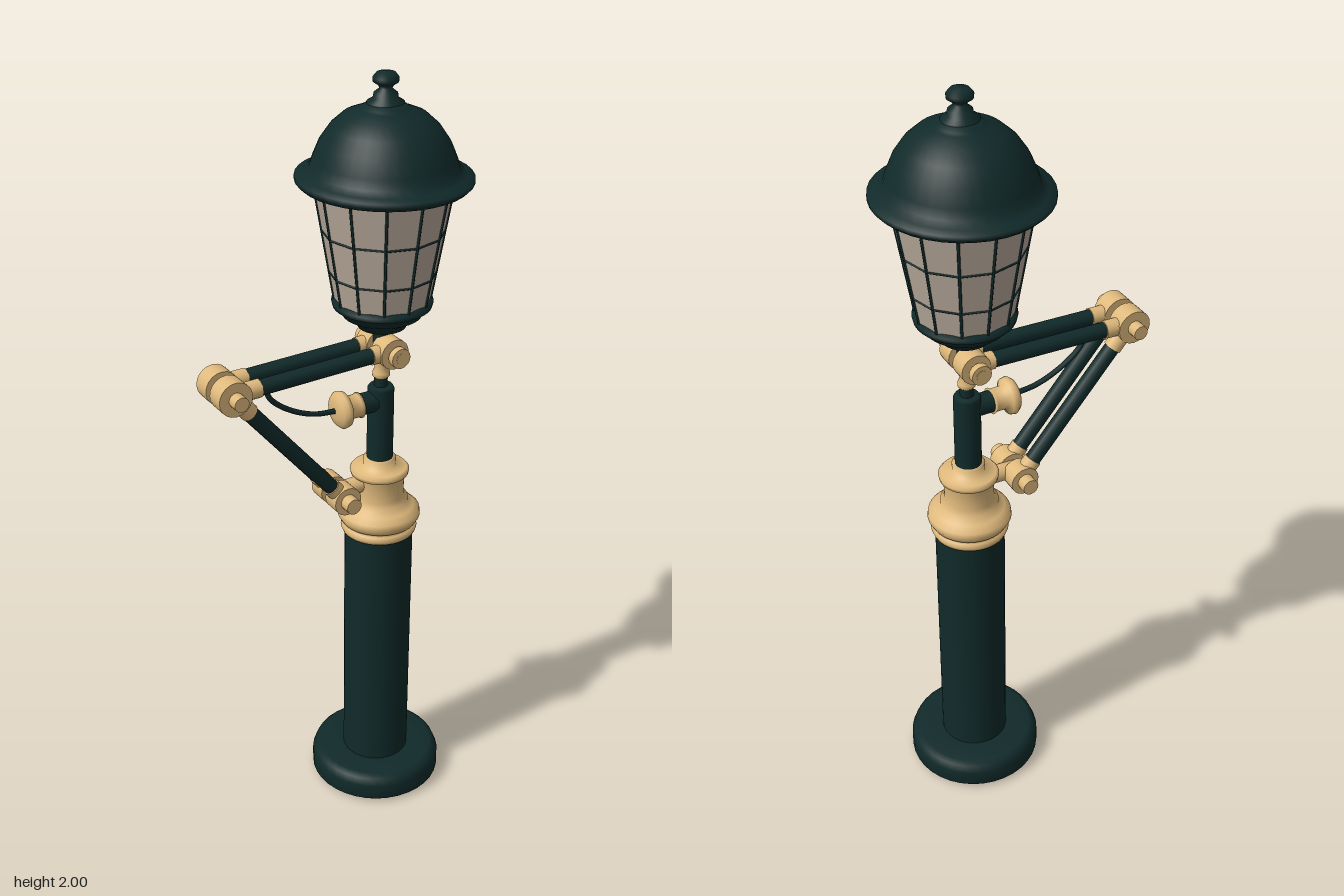
import * as THREE from 'three';

export function createModel() {
  const model = new THREE.Group();
  const mat = (name, color, side = THREE.FrontSide) =>
    Object.assign(new THREE.MeshStandardMaterial({ color, side }), { name });
  const green = mat('dark green paint', 0x112a2a);
  const brass = mat('brass', 0xdfb97c);
  const glass = mat('frosted glass', 0xb9aa9b);
  const AX = 0.133; // x of the post axis
  const V = (x, y, z = 0) => new THREE.Vector3(x, y, z);

  function add(name, geo, material, parent = model) {
    const mesh = new THREE.Mesh(geo, material);
    mesh.name = name;
    parent.add(mesh);
    return mesh;
  }
  // Turned part around the post axis, from [radius, height] pairs
  function turned(name, profile, material) {
    const geo = new THREE.LatheGeometry(profile.map(p => new THREE.Vector2(...p)), 36);
    const m = add(name, geo, material);
    m.position.x = AX;
    return m;
  }
  // Round rod between two points
  function rod(name, a, b, r, material, parent = model, r2 = r, sides = 16) {
    const d = b.clone().sub(a);
    const m = add(name, new THREE.CylinderGeometry(r2, r, d.length(), sides), material, parent);
    m.position.copy(a).add(b).multiplyScalar(0.5);
    m.quaternion.setFromUnitVectors(V(0, 1), d.normalize());
    return m;
  }

  // Base and post
  turned('base', [[0, 0], [0.165, 0], [0.178, 0.012], [0.178, 0.055], [0.17, 0.075],
    [0.155, 0.083], [0.09, 0.083]], green);
  turned('post', [[0.09, 0.08], [0.09, 0.8]], green);

  // Brass collar on top of the post
  turned('collar', [[0.085, 0.795], [0.096, 0.797], [0.1, 0.807], [0.096, 0.818], [0.086, 0.822],
    [0.1, 0.828], [0.108, 0.843], [0.106, 0.858], [0.09, 0.872], [0.075, 0.88], [0.075, 0.892],
    [0.064, 0.9], [0.064, 0.958], [0.075, 0.965], [0.077, 0.975], [0.07, 0.983],
    [0.042, 0.985], [0.042, 1.008], [0.03, 1.01]], brass);

  // Upper stem
  turned('stem', [[0.034, 1.0], [0.034, 1.205], [0.03, 1.212], [0, 1.213]], green);
  turned('stemRod', [[0.017, 1.21], [0.017, 1.26]], green);
  turned('stemFerrule', [[0.018, 1.236], [0.022, 1.24], [0.022, 1.25], [0.016, 1.262],
    [0.02, 1.28], [0.024, 1.32]], brass);

  // Hinge joints: a pin along z with two bosses
  const elbow = V(-0.303, 1.306), shoulder = V(0.135, 1.318), foot = V(0.003, 0.94);
  function joint(name, c, r, pinR, half = 0.09) {
    const g = new THREE.Group();
    g.name = name;
    g.position.copy(c);
    model.add(g);
    rod('pin', V(0, 0, -half), V(0, 0, half), pinR, brass, g);
    for (const s of [-1, 1]) {
      rod('boss', V(0, 0, s * 0.01), V(0, 0, s * 0.06), r, brass, g, r, 20);
      if (half < 0.09) rod('pinCap', V(0, 0, s * 0.07), V(0, 0, s * 0.088), 0.026, brass, g);
    }
  }
  joint('elbowJoint', elbow, 0.044, 0.019);
  joint('shoulderJoint', shoulder, 0.039, 0.014, 0.089);
  joint('footJoint', foot, 0.038, 0.021);

  // Paired arms with brass sockets at both ends
  function arm(name, a, b) {
    const g = new THREE.Group();
    g.name = name;
    model.add(g);
    const d = b.clone().sub(a).normalize();
    for (const z of [-0.035, 0.033]) {
      const p = a.clone().setZ(z), q = b.clone().setZ(z);
      rod('armBar', p, q, 0.02, green, g);
      rod('armSocket', p, p.clone().addScaledVector(d, 0.075), 0.023, brass, g);
      rod('armSocket', q, q.clone().addScaledVector(d, -0.055), 0.023, brass, g);
    }
  }
  arm('upperArm', elbow, shoulder);
  arm('lowerArm', elbow, foot);
  rod('footBracket', foot, V(0.09, 0.945), 0.023, brass);

  // Knob on the side of the stem and the cable hanging from the arm
  rod('knobStub', V(0.05, 1.172), V(AX, 1.172), 0.028, green);
  const knob = add('knob', new THREE.LatheGeometry([[0, 0], [0.02, 0], [0.04, 0.006], [0.049, 0.017],
    [0.046, 0.03], [0.03, 0.038], [0.03, 0.065], [0.034, 0.072], [0, 0.074]]
    .map(p => new THREE.Vector2(...p)), 24), brass);
  knob.rotation.z = -Math.PI / 2;
  knob.position.set(-0.003, 1.172, 0);
  const cable = new THREE.CatmullRomCurve3([V(-0.24, 1.3), V(-0.205, 1.295), V(-0.18, 1.25), V(-0.13, 1.21),
    V(-0.06, 1.18), V(0.01, 1.172)]);
  add('cable', new THREE.TubeGeometry(cable, 32, 0.007, 8), green);

  // Lantern bottom cup
  turned('lanternNeck', [[0.022, 1.33], [0.022, 1.375], [0.03, 1.38]], green);
  turned('lanternCup', [[0, 1.376], [0.06, 1.376], [0.066, 1.39], [0.098, 1.408], [0.106, 1.425],
    [0.122, 1.432], [0.125, 1.444], [0.112, 1.452], [0, 1.452]], green);

  // Faceted tapering glass with thin glazing bars
  const SIDES = 12, Y0 = 1.445, Y1 = 1.735, R0 = 0.117, R1 = 0.166;
  const rad = y => R0 + (R1 - R0) * (y - Y0) / (Y1 - Y0);
  const pane = new THREE.CylinderGeometry(R1, R0, Y1 - Y0, SIDES, 1).toNonIndexed();
  pane.computeVertexNormals();
  add('glassPanes', pane, glass).position.set(AX, (Y0 + Y1) / 2, 0);
  const cage = new THREE.Group();
  cage.name = 'glazingBars';
  cage.position.x = AX;
  model.add(cage);
  const at = (i, y) => {
    const t = i / SIDES * Math.PI * 2;
    return V(Math.sin(t) * rad(y), y, Math.cos(t) * rad(y));
  };
  for (let i = 0; i < SIDES; i++) {
    rod('uprightBar', at(i, Y0), at(i, Y1), 0.0035, green, cage, 0.0035, 6);
    for (const y of [1.517, 1.622])
      rod('crossBar', at(i, y), at(i + 1, y), 0.0028, green, cage, 0.0028, 6);
  }

  // Domed roof with brim, and finial
  turned('roof', [[0, 1.73], [0.168, 1.73], [0.175, 1.738], [0.2, 1.738], [0.21, 1.748], [0.21, 1.758],
    [0.192, 1.764], [0.176, 1.776], [0.168, 1.8], [0.152, 1.838], [0.128, 1.873], [0.098, 1.9],
    [0.064, 1.914], [0.055, 1.918], [0.04, 1.93], [0, 1.932]], green).scale.z = 1.035;
  turned('finial', [[0.045, 1.915], [0.044, 1.93], [0.03, 1.938], [0.028, 1.95], [0.015, 1.96],
    [0.018, 1.967], [0.03, 1.975], [0.031, 1.985], [0.022, 1.996], [0, 2]], green);

  return model;
}
